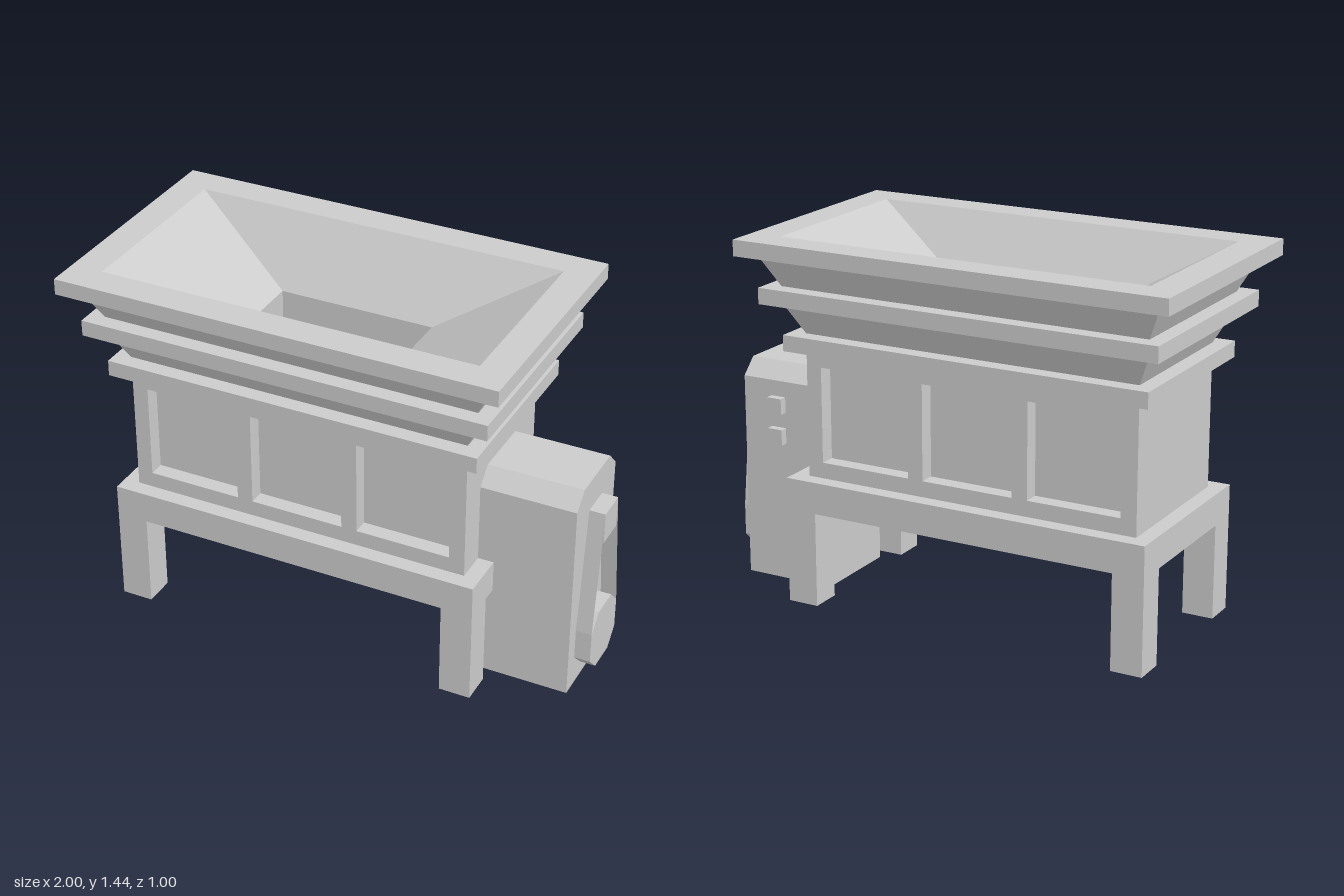
import * as THREE from 'three';

const grey = new THREE.MeshStandardMaterial({ color: 0xcccccc, flatShading: true });
const greyThin = new THREE.MeshStandardMaterial({ color: 0xcccccc, flatShading: true, side: THREE.DoubleSide });
const CX = -0.125; // centre of the hopper, body and frame along x

function add(parent, name, geometry, x = 0, y = 0, z = 0, material = grey) {
  const mesh = new THREE.Mesh(geometry, material);
  mesh.name = name;
  mesh.position.set(x, y, z);
  parent.add(mesh);
  return mesh;
}

// Box given by its lower and upper corners
function block(parent, name, [x0, y0, z0], [x1, y1, z1]) {
  return add(parent, name, new THREE.BoxGeometry(x1 - x0, y1 - y0, z1 - z0),
    (x0 + x1) / 2, (y0 + y1) / 2, (z0 + z1) / 2);
}

// Rectangular sections [halfX, halfZ, y] joined by flat quads
function loftRects(sections) {
  const corners = [[1, 1], [1, -1], [-1, -1], [-1, 1]];
  const point = ([hx, hz, y], k) => [corners[k % 4][0] * hx, y, corners[k % 4][1] * hz];
  const pos = [];
  for (let i = 0; i < sections.length - 1; i++) {
    for (let k = 0; k < 4; k++) {
      const a = point(sections[i], k), b = point(sections[i], k + 1);
      const c = point(sections[i + 1], k + 1), d = point(sections[i + 1], k);
      pos.push(...a, ...b, ...c, ...a, ...c, ...d);
    }
  }
  const geometry = new THREE.BufferGeometry();
  geometry.setAttribute('position', new THREE.Float32BufferAttribute(pos, 3));
  geometry.computeVertexNormals();
  return geometry;
}

function polygon(points) {
  return new THREE.Shape(points.map(([x, y]) => new THREE.Vector2(x, y)));
}

function extrude(shape, depth) {
  return new THREE.ExtrudeGeometry(shape, { depth, bevelEnabled: false });
}

const rect = (x0, y0, x1, y1) => polygon([[x0, y0], [x1, y0], [x1, y1], [x0, y1]]);

export function createModel() {
  const model = new THREE.Group();
  model.name = 'hopperMachine';

  // Hopper: stepped outer collars, rim, sloping inside and straight chute
  add(model, 'hopper', loftRects([
    [0.6875, 0.3125, 1], [0.75, 0.375, 1], [0.75, 0.375, 1.0625],
    [0.6875, 0.3125, 1.0625], [0.75, 0.375, 1.1875],
    [0.8125, 0.4375, 1.1875], [0.8125, 0.4375, 1.25],
    [0.75, 0.375, 1.25], [0.8125, 0.4375, 1.375],
    [0.875, 0.5, 1.375], [0.875, 0.5, 1.4375],
    [0.75, 0.375, 1.4375], [0.3125, 0.1875, 1.1875], [0.3125, 0.1875, 1],
  ]), CX);

  // Body core with a three-window panel on the front and back
  block(model, 'bodyCore', [CX - 0.6875, 0.5, -0.25], [CX + 0.6875, 1, 0.25]);
  const panel = rect(-0.6875, 0.5, 0.6875, 1);
  for (const x of [-0.4375, 0, 0.4375]) {
    panel.holes.push(rect(x - 0.1875, 0.5625, x + 0.1875, 0.9375));
  }
  const panelGeometry = extrude(panel, 0.0625);
  add(model, 'frontPanel', panelGeometry, CX, 0, 0.25);
  add(model, 'backPanel', panelGeometry, CX, 0, -0.25).rotation.y = Math.PI;

  // Support frame: an open ring of rails on four legs
  const frame = new THREE.Group();
  frame.name = 'supportFrame';
  model.add(frame);
  const ring = rect(-0.75, -0.375, 0.75, 0.375);
  ring.holes.push(rect(-0.625, -0.25, 0.625, 0.25));
  add(frame, 'rails', extrude(ring, 0.125), CX, 0.375, 0).rotation.x = -Math.PI / 2;
  for (const sx of [-1, 1]) {
    for (const sz of [-1, 1]) {
      add(frame, 'leg', new THREE.BoxGeometry(0.125, 0.375, 0.125),
        CX + sx * 0.6875, 0.1875, sz * 0.3125);
    }
  }

  // Drive housing with chamfered top
  const drive = new THREE.Group();
  drive.name = 'drive';
  model.add(drive);
  const housing = polygon([[-0.1875, 0], [0.1875, 0], [0.1875, 0.8125],
    [0.125, 0.875], [-0.125, 0.875], [-0.1875, 0.8125]]);
  add(drive, 'housing', extrude(housing, 0.375), 0.5625).rotation.y = Math.PI / 2;

  // Two buttons on the back of the housing
  for (const y of [0.5625, 0.6875]) {
    block(drive, 'button', [0.75, y, -0.21875], [0.8125, y + 0.0625, -0.1875]);
  }

  // Pulleys and the thin belt strips between them
  const wheel = polygon([[-0.0625, 0.0625], [0.0625, 0.0625], [0.125, 0.125], [0.125, 0.25],
    [0.0625, 0.3125], [-0.0625, 0.3125], [-0.125, 0.25], [-0.125, 0.125]]);
  add(drive, 'lowerPulley', extrude(wheel, 0.0625), 0.9375).rotation.y = Math.PI / 2;
  block(drive, 'upperPulley', [0.9375, 0.625, -0.0625], [1, 0.75, 0.0625]);
  for (const side of [-1, 1]) {
    const strip = new THREE.PlaneGeometry(0.0625, Math.hypot(0.5, 0.0625));
    const belt = add(drive, 'belt', strip, 0.96875, 0.5, side * 0.09375, greyThin);
    belt.rotation.x = -side * Math.atan2(0.0625, 0.5);
  }

  return model;
}
